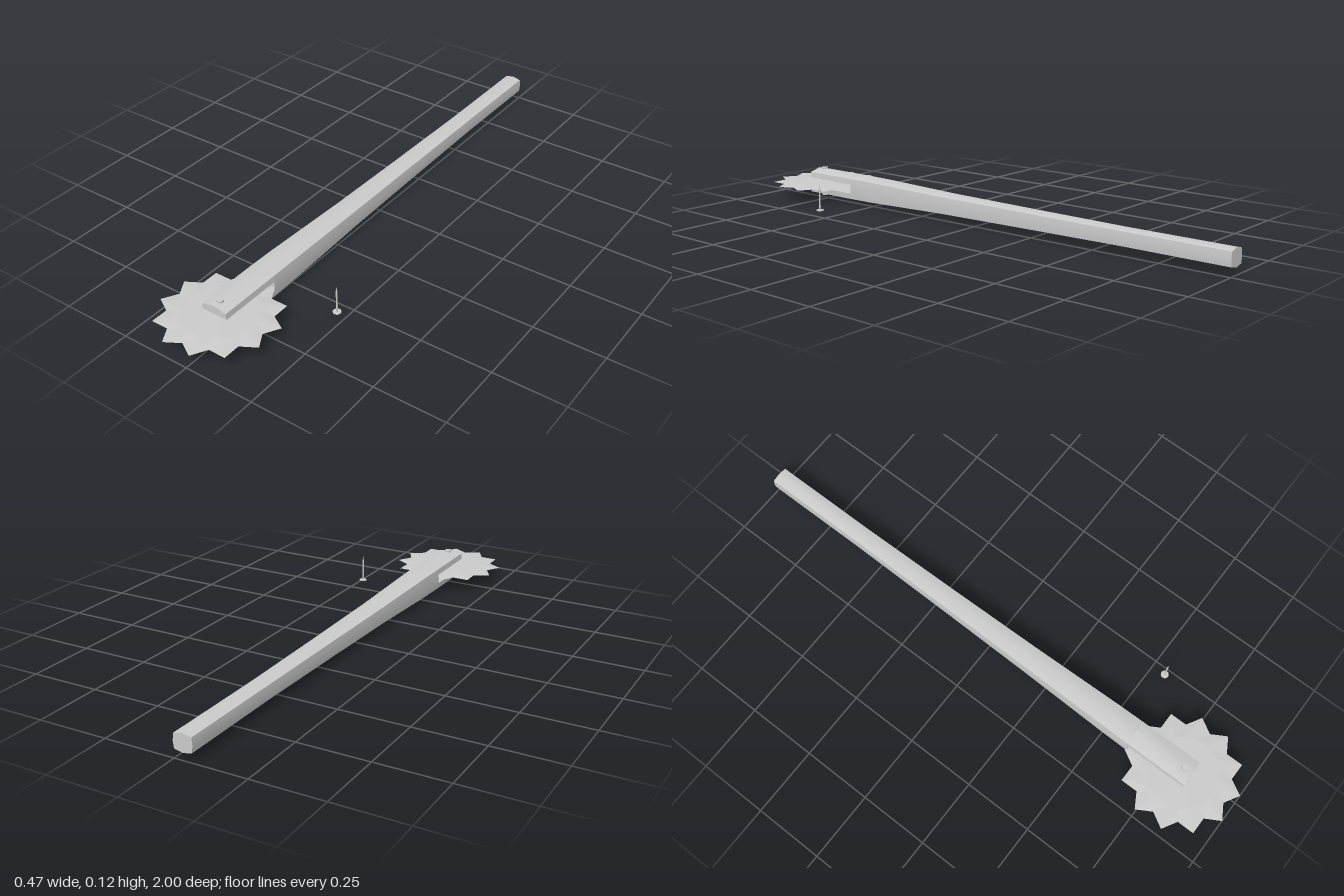
import * as THREE from 'three';
import { toCreasedNormals } from 'three/addons/utils/BufferGeometryUtils.js';

const CX = -0.033; // centre line of the tool
const MID = 0.056; // height of the handle's axis
const material = (flatShading = false) => new THREE.MeshStandardMaterial({ color: 0xcccccc, flatShading });

function geometryFrom(positions) {
  const g = new THREE.BufferGeometry();
  g.setAttribute('position', new THREE.Float32BufferAttribute(positions, 3));
  g.computeVertexNormals();
  return g;
}

// Joins convex cross-sections (counter-clockwise seen from +z, back to front) and closes the ends
function loft(rings) {
  const out = [];
  const tri = (...pts) => pts.forEach((p) => out.push(...p));
  const n = rings[0].length;
  for (let r = 0; r < rings.length - 1; r++) {
    const a = rings[r], b = rings[r + 1];
    for (let i = 0; i < n; i++) {
      const j = (i + 1) % n;
      tri(a[i], a[j], b[j]);
      tri(a[i], b[j], b[i]);
    }
  }
  const back = rings[0], front = rings[rings.length - 1];
  for (let i = 1; i < n - 1; i++) {
    tri(back[0], back[i + 1], back[i]);
    tri(front[0], front[i], front[i + 1]);
  }
  return toCreasedNormals(geometryFrom(out), 0.6);
}

// Handle section: peaked top and bottom, slightly bulging sides
const bodyRing = ([z, w, h]) => [
  [w, 0], [w * 0.92, h * 0.77], [0, h], [-w * 0.92, h * 0.77],
  [-w, 0], [-w * 0.92, -h * 0.77], [0, -h], [w * 0.92, -h * 0.77],
].map(([x, y]) => [CX + x, MID + y, z]);

// Fork prong section, above (side 1) or below (side -1) the slot
function prongRing(z, w, h, side) {
  const slot = 0.018;
  const pts = [[w * 0.96, slot], [w * 0.92, h * 0.77], [0, h], [-w * 0.92, h * 0.77], [-w * 0.96, slot]]
    .map(([x, y]) => [CX + x, MID + y * side, z]);
  return side > 0 ? pts : pts.reverse();
}

// Twelve-toothed disc, thick at the hub and sharp at the rim
function wheelGeometry() {
  const teeth = 12, count = teeth * 2, thick = 0.0065, out = [];
  const at = (i, r, y) => {
    const a = ((15 + i * 180 / teeth) * Math.PI) / 180;
    return [r * Math.cos(a), y, r * Math.sin(a)];
  };
  const rim = (i) => at(i, i % 2 ? 0.168 : 0.206, 0);
  for (const s of [1, -1]) {
    const tri = (a, b, c) => out.push(...a, ...(s > 0 ? b : c), ...(s > 0 ? c : b));
    for (let i = 0; i < count; i++) {
      const a = at(i, 0.125, thick * 0.75 * s), b = at(i + 1, 0.125, thick * 0.75 * s);
      tri([0, thick * s, 0], b, a);
      tri(a, b, rim(i + 1));
      tri(a, rim(i + 1), rim(i));
    }
  }
  return geometryFrom(out);
}

export function createModel() {
  const model = new THREE.Group();
  const add = (name, geometry, x = 0, y = 0, z = 0, flat = false, parent = model) => {
    const mesh = new THREE.Mesh(geometry, material(flat));
    mesh.name = name;
    mesh.position.set(x, y, z);
    parent.add(mesh);
    return mesh;
  };

  // Tapering handle: z, half width, half height
  const sections = [
    [-1, 0.034, 0.032], [-0.6, 0.034, 0.032], [-0.2, 0.038, 0.036],
    [0.15, 0.043, 0.04], [0.5, 0.05, 0.05], [0.605, 0.051, 0.051],
  ];
  add('handle', loft(sections.map(bodyRing)));

  // Fork holding the wheel
  for (const side of [1, -1]) {
    const rings = [0.6, 0.83].map((z) => prongRing(z, 0.051, 0.051, side));
    add(side > 0 ? 'upperProng' : 'lowerProng', loft(rings));
  }

  // Axle pin and toothed wheel
  add('axle', new THREE.CylinderGeometry(0.012, 0.012, 0.112, 16), CX, 0.056, 0.8);
  add('wheel', wheelGeometry(), CX - 0.005, 0.054, 0.8, true);

  // Loose nail standing on its head
  const nail = new THREE.Group();
  nail.name = 'nail';
  nail.position.set(0.223, 0.016, 0.553);
  model.add(nail);
  add('nailHead', new THREE.CylinderGeometry(0.014, 0.014, 0.003, 16), 0, 0.0015, 0, false, nail);
  add('nailShank', new THREE.CylinderGeometry(0.003, 0.003, 0.078, 10), 0, 0.041, 0, false, nail);
  add('nailTip', new THREE.ConeGeometry(0.003, 0.02, 10), 0, 0.09, 0, false, nail);

  return model;
}
